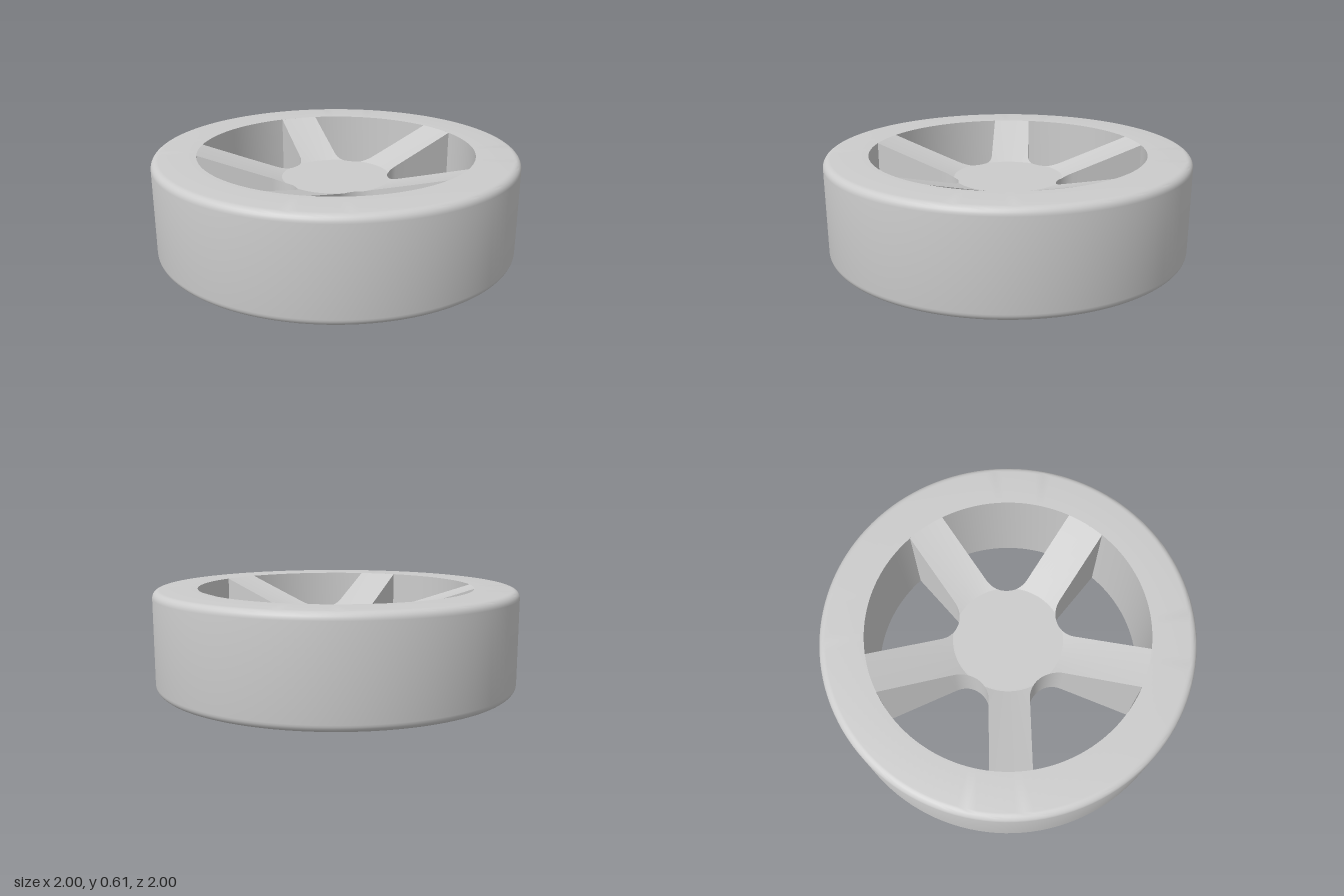
import * as THREE from 'three';
import { toCreasedNormals } from 'three/addons/utils/BufferGeometryUtils.js';

const BOTTOM = 0.067, TOP = 0.613;   // rim faces
const RIM_IN = 0.76, DISC = 0.3, DISH = 0.15;
const SPOKES = 5, HALF = Math.PI / SPOKES, FIRST = 0.075;
const SPOKE_HALF = 0.109, FILLET = 0.142;

const material = new THREE.MeshStandardMaterial({ color: 0xcccccc });

function addMesh(group, name, geometry, crease) {
  const mesh = new THREE.Mesh(toCreasedNormals(geometry, crease), material);
  mesh.name = name;
  group.add(mesh);
}

function lathe(points) {
  return new THREE.LatheGeometry(points.map(([r, y]) => new THREE.Vector2(r, y)), 128);
}

// Closed rim section with rounded outer corners
function rimGeometry() {
  const f = 0.04, points = [[RIM_IN, BOTTOM]];
  for (const [y, start] of [[BOTTOM + f, -Math.PI / 2], [TOP - f, 0]]) {
    for (let i = 0; i <= 6; i++) {
      const a = start + (i / 6) * Math.PI / 2;
      points.push([1 - f + f * Math.cos(a), y + f * Math.sin(a)]);
    }
  }
  points.push([RIM_IN, TOP], [RIM_IN, BOTTOM]);
  return lathe(points);
}

// Half-angle of one spoke sector at a run of radii: full disc, fillet, straight spoke
function spokeOutline() {
  const rows = [0, 0.1, 0.206, 0.25].map((r) => ({ r, a: HALF, wall: false }));
  const d = (SPOKE_HALF + FILLET) / Math.sin(HALF);
  for (let i = 0; i <= 12; i++) {
    const t = (i / 12) * (Math.PI / 2 - HALF);
    const u = d - FILLET * Math.cos(t), v = FILLET * Math.sin(t);
    rows.push({ r: Math.hypot(u, v), a: HALF - Math.atan2(v, u), wall: true });
  }
  for (const r of [0.42, 0.5, 0.58, 0.67, RIM_IN]) {
    rows.push({ r, a: Math.asin(SPOKE_HALF / r), wall: true });
  }
  return rows;
}

// Dished spider: flat centre disc, spokes sloping out to both rim faces
function spiderGeometry() {
  const positions = [], rows = spokeOutline(), STEPS = 12;
  const quad = (a, b, c, d) => positions.push(...a, ...b, ...c, ...a, ...c, ...d);
  const drop = (r) => DISH * Math.min(1, (RIM_IN - r) / (RIM_IN - DISC));

  for (let s = 0; s < SPOKES; s++) {
    const middle = FIRST + s * 2 * HALF;
    const at = (row, t, up) => {
      const angle = middle + t * row.a;
      const y = up ? TOP - drop(row.r) : BOTTOM + drop(row.r);
      return [row.r * Math.cos(angle), y, row.r * Math.sin(angle)];
    };
    for (let i = 0; i < rows.length - 1; i++) {
      const p = rows[i], q = rows[i + 1];
      for (let k = 0; k < STEPS; k++) {
        const t0 = -1 + (2 * k) / STEPS, t1 = -1 + (2 * (k + 1)) / STEPS;
        quad(at(p, t0, true), at(p, t1, true), at(q, t1, true), at(q, t0, true));
        // underside stays open below the boss for its bore
        if (p.r > 0.2) quad(at(p, t0, false), at(q, t0, false), at(q, t1, false), at(p, t1, false));
      }
      if (p.wall) {
        quad(at(p, 1, false), at(q, 1, false), at(q, 1, true), at(p, 1, true));
        quad(at(p, -1, false), at(p, -1, true), at(q, -1, true), at(q, -1, false));
      }
    }
  }
  const geometry = new THREE.BufferGeometry();
  geometry.setAttribute('position', new THREE.Float32BufferAttribute(positions, 3));
  return geometry;
}

export function createModel() {
  const wheel = new THREE.Group();
  wheel.name = 'wheel';
  addMesh(wheel, 'rim', rimGeometry(), 0.4);
  addMesh(wheel, 'spokes', spiderGeometry(), 0.25);
  // Boss with a blind bore, open at the bottom
  addMesh(wheel, 'hubBoss', lathe([
    [0, 0.36], [0.05, 0.36], [0.05, 0], [0.206, 0], [0.206, BOTTOM + DISH],
  ]), 0.4);
  return wheel;
}
